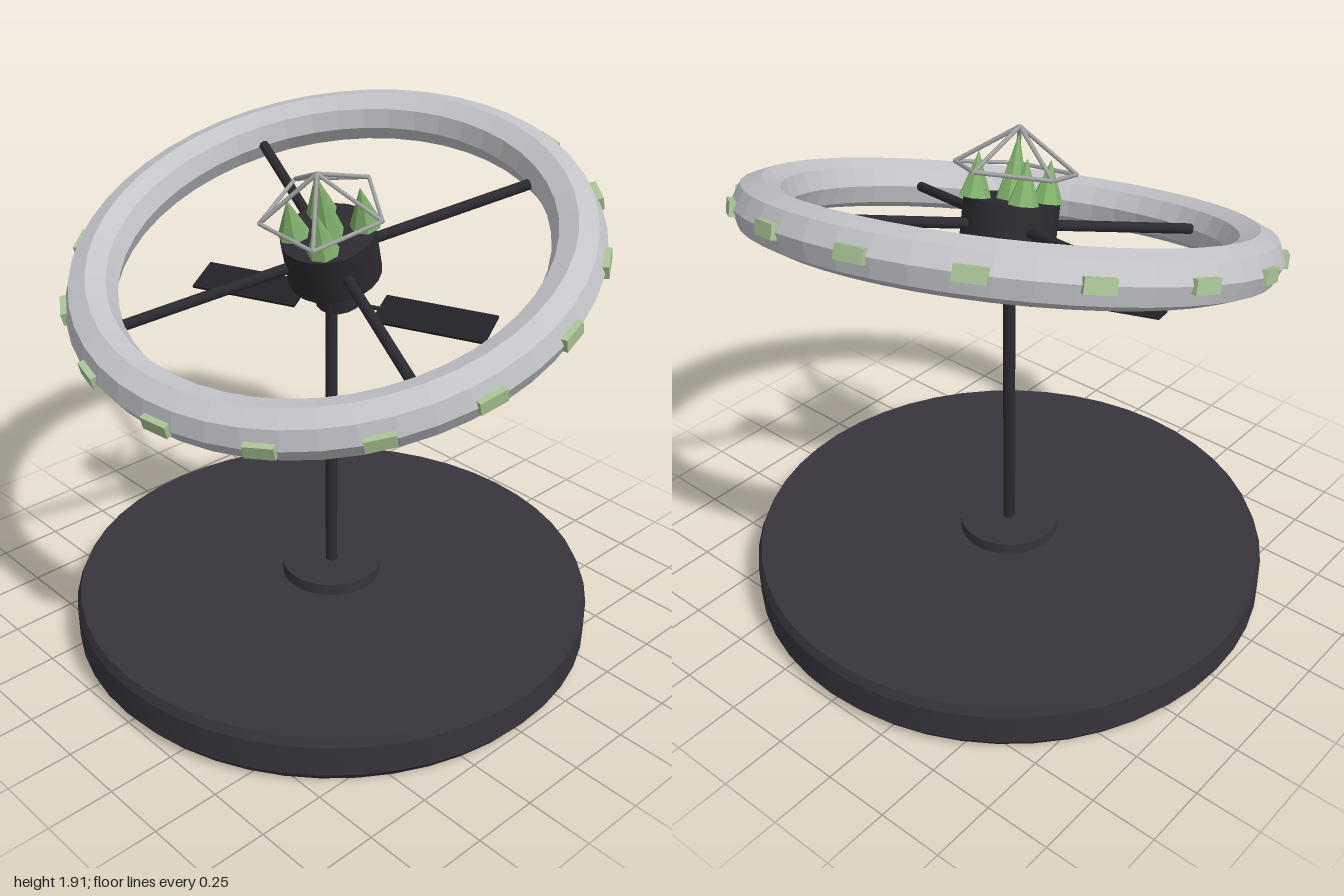
import * as THREE from 'three';
import { toCreasedNormals } from 'three/addons/utils/BufferGeometryUtils.js';

const material = (name, color, flatShading = false) => {
  const m = new THREE.MeshStandardMaterial({ color, flatShading });
  m.name = name;
  return m;
};

export function createModel() {
  const baseDark = material('charcoal', 0x37353c);
  const metalDark = material('dark metal', 0x2b2b30);
  const panelDark = material('panel black', 0x232327);
  const hull = material('light grey hull', 0xc2c4c8, true);
  const frameGrey = material('frame grey', 0xa2a5a4);
  const leaf = material('tree green', 0x7fb069, true);
  const windowGreen = material('pale green', 0xa9c495);

  const model = new THREE.Group();
  model.name = 'ringStationOnStand';

  const add = (parent, name, geometry, mat, x = 0, y = 0, z = 0) => {
    const mesh = new THREE.Mesh(geometry, mat);
    mesh.name = name;
    mesh.position.set(x, y, z);
    parent.add(mesh);
    return mesh;
  };

  // Straight rod between two points
  const rod = (parent, name, a, b, radius, mat, sides = 6) => {
    const dir = b.clone().sub(a);
    const mesh = add(parent, name, new THREE.CylinderGeometry(radius, radius, dir.length(), sides), mat);
    mesh.position.copy(a).add(b).multiplyScalar(0.5);
    mesh.quaternion.setFromUnitVectors(new THREE.Vector3(0, 1, 0), dir.normalize());
    return mesh;
  };

  // Point on a circle about the y axis, angle in degrees from +x towards +z
  const polar = (r, deg, y = 0) => {
    const a = THREE.MathUtils.degToRad(deg);
    return new THREE.Vector3(r * Math.cos(a), y, r * Math.sin(a));
  };

  // Stand: bevelled disc, collar and pole
  const discProfile = [[0, 0], [0.97, 0], [1, 0.04], [1, 0.16], [0.985, 0.195], [0, 0.195]]
    .map(([r, y]) => new THREE.Vector2(r, y));
  add(model, 'baseDisc', toCreasedNormals(new THREE.LatheGeometry(discProfile, 48), 0.4), baseDark);
  add(model, 'collar', new THREE.CylinderGeometry(0.192, 0.192, 0.045, 32), baseDark, 0, 0.2325);
  add(model, 'pole', new THREE.CylinderGeometry(0.023, 0.023, 1.17, 12), metalDark, 0, 0.775);

  // Tilted station; the spin group turns the ring, spokes and panels about its axis
  const station = new THREE.Group();
  station.name = 'station';
  station.position.y = 1.545;
  station.rotation.set(0.305, 0, -0.11);
  model.add(station);

  const spin = new THREE.Group();
  spin.name = 'wheel';
  spin.rotation.y = -THREE.MathUtils.degToRad(24.75);
  station.add(spin);

  const ring = new THREE.TorusGeometry(0.865, 0.096, 8, 48);
  ring.rotateX(Math.PI / 2);
  add(spin, 'ring', ring, hull);

  // Windows around the rim
  for (let i = 0; i < 16; i++) {
    const deg = (i + 0.5) * 22.5;
    const p = polar(0.957, deg);
    const pane = add(spin, 'rimWindow', new THREE.BoxGeometry(0.03, 0.05, 0.105), windowGreen, p.x, 0, p.z);
    pane.rotation.y = -THREE.MathUtils.degToRad(deg);
  }

  // Four spokes
  for (let i = 0; i < 4; i++) {
    rod(spin, 'spoke', polar(0.1, i * 90), polar(0.77, i * 90), 0.02, metalDark, 8);
  }

  // Hub and the flared bearing beneath it
  add(spin, 'hub', new THREE.CylinderGeometry(0.17, 0.17, 0.18, 24), metalDark);
  add(spin, 'bearing', new THREE.CylinderGeometry(0.06, 0.09, 0.12, 16), metalDark, 0, -0.15);

  // Two flat panels on a thin axle
  const panels = new THREE.Group();
  panels.name = 'panels';
  panels.position.y = -0.225;
  panels.rotation.y = Math.PI / 4;
  spin.add(panels);
  for (const side of [-1, 1]) {
    add(panels, 'panel', new THREE.BoxGeometry(0.43, 0.01, 0.145), panelDark, side * 0.37);
  }
  rod(panels, 'panelAxle', new THREE.Vector3(-0.18, 0, 0), new THREE.Vector3(0.18, 0, 0), 0.008, metalDark);

  // Cone trees on top of the hub: x, z, radius, height
  const trees = [
    [0, 0, 0.06, 0.23],
    [-0.105, -0.075, 0.056, 0.16],
    [0.08, -0.11, 0.058, 0.16],
    [-0.095, 0.075, 0.058, 0.15],
    [0.065, 0.085, 0.058, 0.16],
  ];
  for (const [x, z, r, h] of trees) {
    add(station, 'tree', new THREE.ConeGeometry(r, h, 7), leaf, x, 0.09 + h / 2, z);
  }

  // Five-sided wire dome
  const apex = new THREE.Vector3(0, 0.342, 0);
  for (let i = 0; i < 5; i++) {
    const a = polar(0.227, -90 + i * 72, 0.19);
    const b = polar(0.227, -18 + i * 72, 0.19);
    rod(station, 'domeEdge', a, b, 0.008, frameGrey);
    rod(station, 'domeRib', a, apex, 0.008, frameGrey);
  }

  return model;
}
